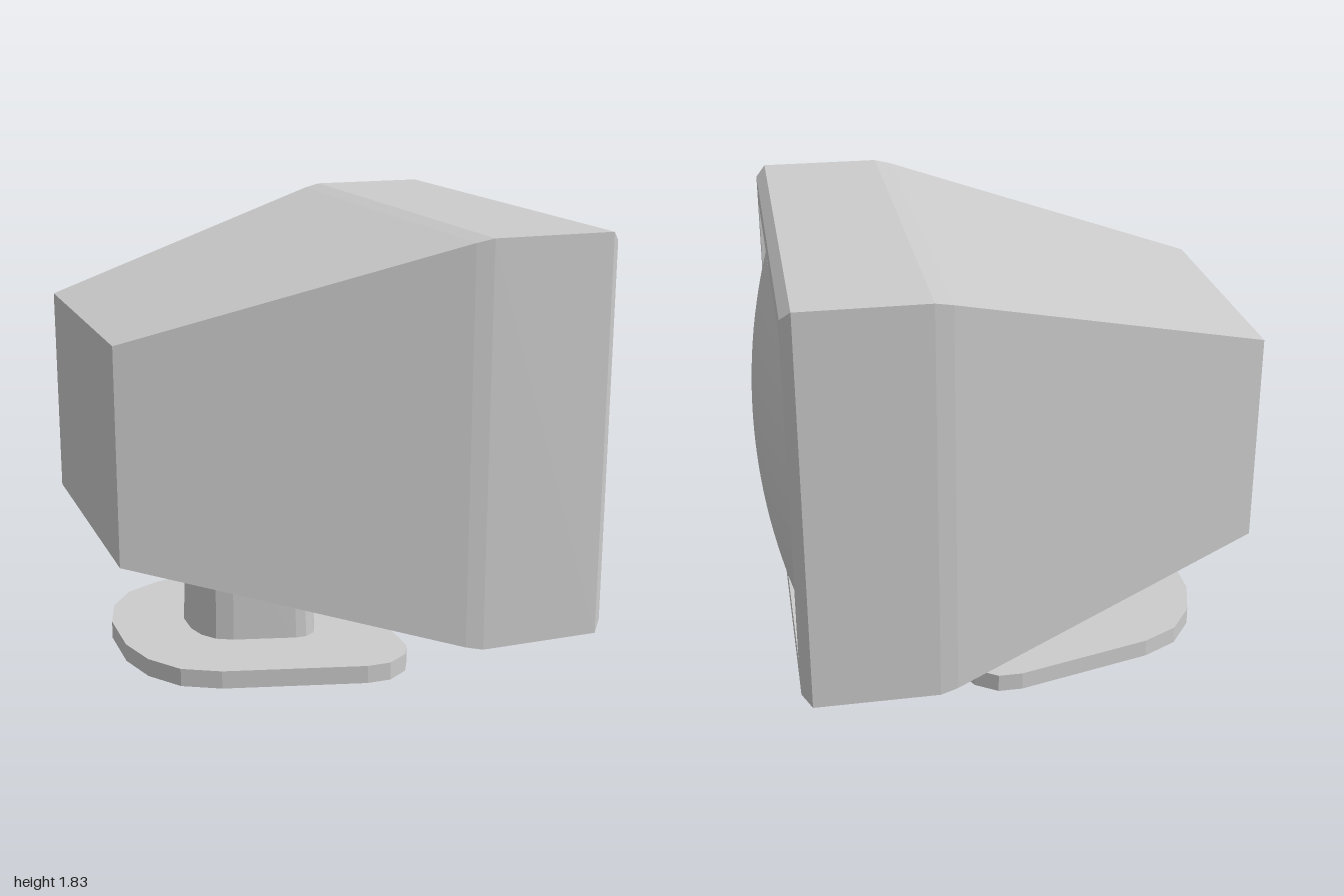
import * as THREE from 'three';

const material = new THREE.MeshStandardMaterial({ color: 0xcccccc, flatShading: true });
const smooth = new THREE.MeshStandardMaterial({ color: 0xcccccc, side: THREE.DoubleSide });
const MID_Y = 1.015;

// Rectangular sections [x, halfHeight, halfWidth] joined from back to front
function loftRectangles(sections) {
  const rings = sections.map(([x, h, w]) =>
    [[-h, w], [-h, -w], [h, -w], [h, w]].map(([y, z]) => [x, MID_Y + y, z]));
  const pos = [];
  const quad = (a, b, c, d) => pos.push(...a, ...b, ...c, ...a, ...c, ...d);
  for (let i = 0; i < rings.length - 1; i++) {
    const r = rings[i], s = rings[i + 1];
    for (let k = 0; k < 4; k++) {
      const n = (k + 1) % 4;
      quad(r[k], r[n], s[n], s[k]);
    }
  }
  const back = rings[0];
  quad(back[3], back[2], back[1], back[0]);
  const geo = new THREE.BufferGeometry();
  geo.setAttribute('position', new THREE.Float32BufferAttribute(pos, 3));
  geo.computeVertexNormals();
  return geo;
}

// Upright slab with the rounded foot outline
function footSlab(height) {
  const half = [[0.21, 0.54], [0.17, 0.62], [0.08, 0.68], [-0.02, 0.68],
    [-0.59, 0.53], [-0.74, 0.45], [-0.84, 0.31], [-0.89, 0.13]];
  const outline = [...half, ...half.slice().reverse().map(([x, z]) => [x, -z])];
  const shape = new THREE.Shape(outline.map(([x, z]) => new THREE.Vector2(x, z)));
  const geo = new THREE.ExtrudeGeometry(shape, { depth: height, bevelEnabled: false });
  return geo.rotateX(-Math.PI / 2);
}

export function createModel() {
  const model = new THREE.Group();
  const add = (name, geo, mat = material) => {
    const mesh = new THREE.Mesh(geo, mat);
    mesh.name = name;
    model.add(mesh);
    return mesh;
  };

  // Tapered housing with bevelled bezel and recess for the screen
  add('housing', loftRectangles([
    [-1, 0.433, 0.57], [0.29, 0.8, 0.938], [0.36, 0.815, 0.95], [0.86, 0.815, 0.95],
    [0.9, 0.775, 0.91], [0.9, 0.675, 0.815], [0.74, 0.675, 0.815],
  ]));

  // Screen bulging as part of a sphere
  const screen = new THREE.PlaneGeometry(1.63, 1.35, 28, 24).rotateY(Math.PI / 2);
  const p = screen.attributes.position, R = 2.35;
  for (let i = 0; i < p.count; i++) {
    const y = p.getY(i), z = p.getZ(i);
    p.setX(i, 1 - R + Math.sqrt(R * R - y * y - z * z));
  }
  screen.computeVertexNormals();
  add('screen', screen, smooth).position.y = MID_Y;

  // Foot plate
  add('footPlate', footSlab(0.075));

  // Neck: the foot outline scaled down and slightly tapered
  const neck = footSlab(0.45), q = neck.attributes.position, cx = -0.34;
  for (let i = 0; i < q.count; i++) {
    const s = 0.45 - 0.055 * q.getY(i);
    q.setX(i, cx + (q.getX(i) - cx) * s);
    q.setZ(i, q.getZ(i) * s);
  }
  neck.computeVertexNormals();
  add('neck', neck).position.y = 0.06;

  return model;
}
